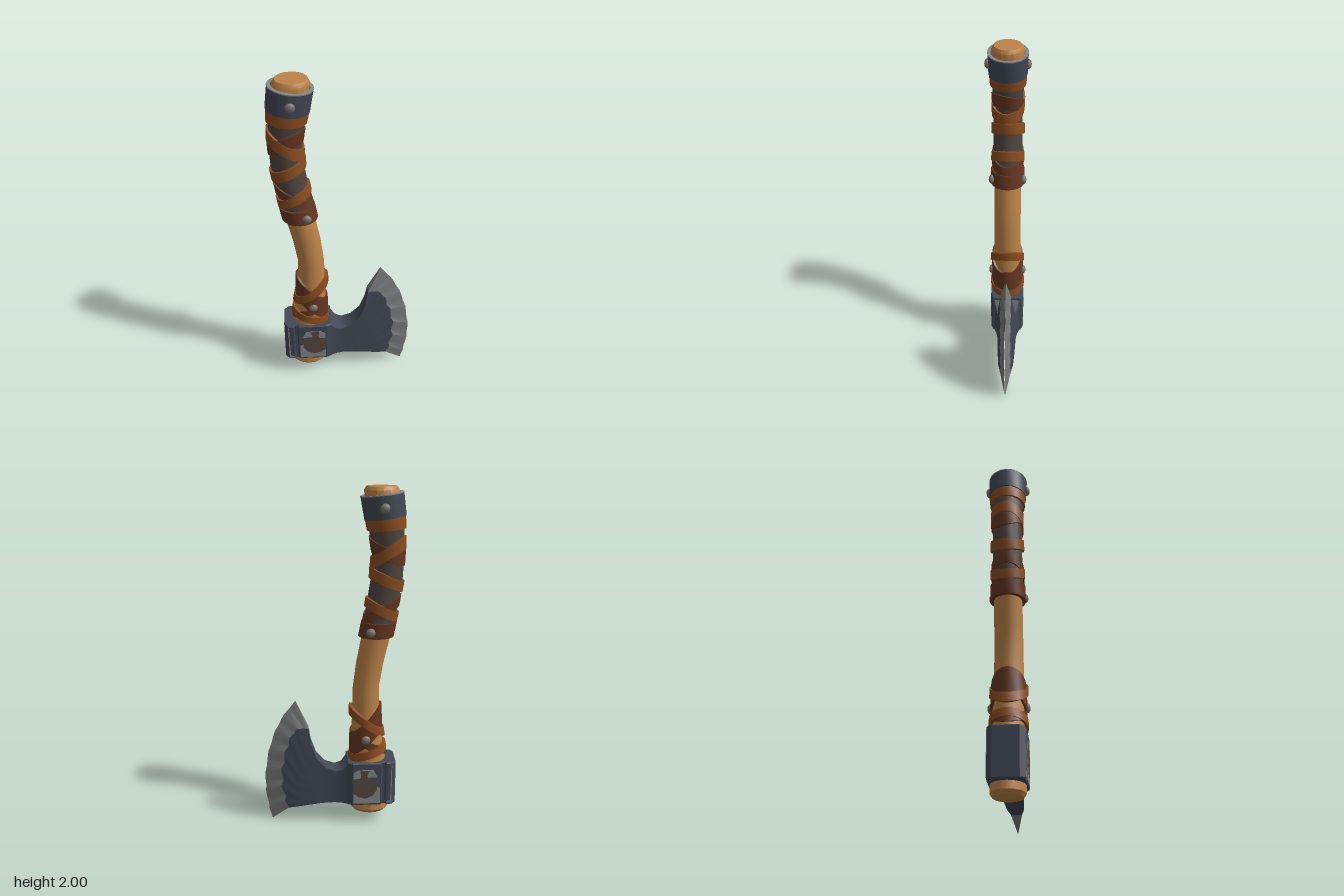
import * as THREE from 'three';
import { toCreasedNormals } from 'three/addons/utils/BufferGeometryUtils.js';

const mat = (name, color, side = THREE.FrontSide) => {
  const m = new THREE.MeshStandardMaterial({ color, side });
  m.name = name;
  return m;
};

// Handle profile: y, centre x, radius in x, radius in z
const PROFILE = [
  [0.065, -0.225, 0.098, 0.08], [0.085, -0.225, 0.116, 0.094], [0.25, -0.22, 0.112, 0.094],
  [0.42, -0.213, 0.102, 0.09], [0.6, -0.198, 0.085, 0.085], [0.85, -0.195, 0.077, 0.08],
  [1.0, -0.216, 0.08, 0.08], [1.15, -0.247, 0.083, 0.08], [1.3, -0.275, 0.083, 0.078],
  [1.5, -0.305, 0.083, 0.076], [1.65, -0.311, 0.083, 0.076], [1.78, -0.296, 0.092, 0.084],
  [1.9, -0.279, 0.102, 0.09], [1.98, -0.268, 0.098, 0.09], [2.0, -0.266, 0.085, 0.078],
];

// Interpolated handle section at a height
function sectionAt(y) {
  let i = 0;
  while (i < PROFILE.length - 2 && PROFILE[i + 1][0] < y) i++;
  const a = PROFILE[i], b = PROFILE[i + 1];
  const t = THREE.MathUtils.clamp((y - a[0]) / (b[0] - a[0]), 0, 1);
  return a.map((v, k) => v + (b[k] - v) * t);
}

// Point on the handle at an angle and height, pushed outwards by off
function around(a, y, off = 0) {
  const [, cx, rx, rz] = sectionAt(y);
  return [cx + (rx + off) * Math.cos(a), y, -(rz + off) * Math.sin(a)];
}

// Skin over rings that run counterclockwise about the direction of travel
function loft(rings, { capped = false, looped = false, crease = 0.6 } = {}) {
  const m = rings[0].length, n = rings.length, pos = rings.flat(2), idx = [];
  for (let i = 0; i < (looped ? n : n - 1); i++) {
    for (let j = 0; j < m; j++) {
      const k = (j + 1) % m, u = i * m, v = ((i + 1) % n) * m;
      idx.push(u + j, u + k, v + k, u + j, v + k, v + j);
    }
  }
  if (capped) {
    for (let j = 1; j < m - 1; j++) {
      const e = (n - 1) * m;
      idx.push(0, j + 1, j, e, e + j, e + j + 1);
    }
  }
  const g = new THREE.BufferGeometry();
  g.setAttribute('position', new THREE.Float32BufferAttribute(pos, 3));
  g.setIndex(idx);
  return toCreasedNormals(g, crease);
}

// Sleeve that follows the handle between its profile heights
function sleeve(heights, off, sides = 16) {
  return loft(heights.map((y) => Array.from({ length: sides },
    (_, j) => around(j / sides * Math.PI * 2, y, off))), { capped: true });
}

// Closed band round the handle; tilt lifts the +x side, twist lifts the back
function band(y, height, tilt, twist, inner, outer, sides = 20) {
  const rings = [];
  for (let i = 0; i < sides; i++) {
    const a = i / sides * Math.PI * 2;
    const c = y + tilt * Math.cos(a) + twist * Math.sin(a);
    const lo = c - height / 2, hi = c + height / 2;
    rings.push([around(a, lo, inner), around(a, hi, inner), around(a, hi, outer), around(a, lo, outer)]);
  }
  return loft(rings, { looped: true });
}

// Blade section: spline from bottom to top, mirrored to both faces
function bladeRing(points, half, jag = 0) {
  const curve = new THREE.SplineCurve(points.map((p) => new THREE.Vector2(...p)));
  const pts = curve.getPoints(20);
  const side = (s) => pts.map((p, i) => {
    const shift = i % 20 === 0 ? 0 : jag * (i % 3 - 1);
    return [p.x + shift, p.y, s * (half + shift * 0.3)];
  });
  return [...side(-1), ...side(1).reverse()];
}

export function createModel() {
  const wood = mat('wood', 0xbd8348);
  const grip = mat('dark grip', 0x51453f);
  const strap = mat('tan strap', 0x8c4e20);
  const leather = mat('brown leather', 0x663622);
  const steel = mat('dark steel', 0x424855);
  const edge = mat('ground edge', 0x7a7b7c);
  const worn = mat('worn steel', 0x84878b);
  const rust = mat('rust', 0x574840);
  const rivet = mat('rivet metal', 0x777167);

  const root = new THREE.Group();
  root.name = 'axe';
  const add = (name, geometry, material, parent = root) => {
    const mesh = new THREE.Mesh(geometry, material);
    mesh.name = name;
    parent.add(mesh);
    return mesh;
  };

  // Wooden handle and dark grip
  add('handle', sleeve(PROFILE.map((p) => p[0]), 0), wood);
  add('grip', sleeve([1.2, 1.3, 1.4, 1.5, 1.65, 1.78, 1.84], 0.007), grip);

  // Steel collar under the pommel end
  add('collar', band(1.893, 0.125, -0.014, 0, 0, 0.022), steel);
  add('collarRim', band(1.957, 0.006, -0.014, 0, 0.004, 0.0235), worn);

  // Bands and crossed straps: name, material, y, height, tilt, twist, outer offset
  [
    ['upperStrap', strap, 1.8, 0.065, -0.008, 0, 0.019],
    ['gripStrap', strap, 1.64, 0.07, -0.06, 0.01, 0.018],
    ['gripStrap', leather, 1.65, 0.08, 0.035, -0.02, 0.015],
    ['gripStrap', strap, 1.49, 0.062, 0.04, 0, 0.02],
    ['gripStrap', strap, 1.32, 0.055, 0.045, 0, 0.02],
    ['gripStrap', leather, 1.32, 0.06, -0.055, 0, 0.016],
    ['lowerBand', leather, 1.205, 0.085, 0, 0, 0.02],
    ['neckWrap', leather, 0.59, 0.15, -0.09, 0, 0.013],
    ['neckStrap', strap, 0.645, 0.055, 0.07, 0, 0.021],
    ['neckStrap', strap, 0.455, 0.05, -0.035, 0, 0.017],
    ['neckStrap', leather, 0.51, 0.05, 0.05, 0, 0.012],
  ].forEach(([name, m, y, h, tilt, twist, out]) => add(name, band(y, h, tilt, twist, 0, out), m));

  // Rivets on both faces
  for (const [x, y, z] of [[-0.275, 1.89, 0.112], [-0.21, 1.2, 0.094], [-0.19, 0.55, 0.098]]) {
    for (const s of [-1, 1]) {
      const r = add('rivet', new THREE.SphereGeometry(0.027, 10, 6), rivet);
      r.position.set(x, y, s * z);
      r.scale.z = 0.65;
    }
  }

  // Axe head
  const head = new THREE.Group();
  head.name = 'head';
  root.add(head);

  // Socket block, extruded upwards, with a groove between poll and cheeks
  const half = [[-0.372, 0.07], [-0.352, 0.095], [-0.318, 0.098], [-0.31, 0.084], [-0.292, 0.084],
    [-0.284, 0.1], [-0.115, 0.1], [-0.085, 0.086]];
  const outline = [...half, ...half.map(([x, z]) => [x, -z]).reverse()];
  const socketShape = new THREE.Shape(outline.map((p) => new THREE.Vector2(...p)));
  const socket = new THREE.ExtrudeGeometry(socketShape, { depth: 0.262, bevelEnabled: true,
    bevelSize: 0.004, bevelThickness: 0.006, bevelSegments: 1, bevelOffset: -0.002 });
  add('socket', socket.rotateX(-Math.PI / 2).translate(0, 0.134, 0), steel, head);

  // Blade body and sharpened edge
  const bevelLine = [[0.27, 0.085], [0.3, 0.2], [0.303, 0.35], [0.272, 0.49], [0.22, 0.595], [0.145, 0.6]];
  const edgeLine = [[0.37, 0.004], [0.4, 0.15], [0.405, 0.31], [0.37, 0.5], [0.305, 0.655], [0.22, 0.77]];
  const bevel = bladeRing(bevelLine, 0.031, 0.008);
  const body = [
    bladeRing([[-0.12, 0.13], [-0.12, 0.4]], 0.096),
    bladeRing([[-0.08, 0.13], [-0.085, 0.385]], 0.08),
    bladeRing([[-0.05, 0.13], [-0.055, 0.347]], 0.068),
    bladeRing([[-0.01, 0.13], [-0.015, 0.335]], 0.06),
    bladeRing([[0.06, 0.125], [0.05, 0.25], [0.045, 0.358]], 0.056),
    bladeRing([[0.14, 0.113], [0.13, 0.27], [0.1, 0.42]], 0.052),
    bladeRing([[0.21, 0.1], [0.21, 0.3], [0.131, 0.51]], 0.046),
    bevel,
  ];
  add('blade', loft(body, { crease: 0.7 }), steel, head);
  add('bladeEdge', loft([bevel, bladeRing(edgeLine, 0.002, 0.003)], { crease: 0.35 }), edge, head);

  // Worn and rusty patches on the cheeks
  const patches = [
    ['wornPatch', worn, 0.1015, [[-0.28, 0.14], [-0.12, 0.14], [-0.12, 0.2], [-0.17, 0.18], [-0.24, 0.2], [-0.262, 0.25], [-0.28, 0.24]]],
    ['wornPatch', worn, 0.1015, [[-0.262, 0.31], [-0.2, 0.31], [-0.12, 0.3], [-0.12, 0.34], [-0.15, 0.36], [-0.24, 0.358]]],
    ['rustPatch', rust, 0.1025, [[-0.26, 0.23], [-0.235, 0.19], [-0.19, 0.172], [-0.145, 0.185], [-0.12, 0.22], [-0.122, 0.3],
      [-0.15, 0.29], [-0.165, 0.315], [-0.16, 0.355], [-0.215, 0.355], [-0.2, 0.32], [-0.225, 0.29], [-0.258, 0.3]]],
    ['wornCorner', worn, 0.098, [[-0.35, 0.14], [-0.32, 0.14], [-0.32, 0.15], [-0.342, 0.155], [-0.345, 0.38], [-0.35, 0.39]]],
  ];
  for (const [name, m, z, pts] of patches) {
    const shape = new THREE.Shape(pts.map((p) => new THREE.Vector2(...p)));
    for (const s of [-1, 1]) {
      const plate = new THREE.ExtrudeGeometry(shape, { depth: 0.004, bevelEnabled: false });
      add(name, plate.translate(0, 0, s * z - 0.002), m, head);
    }
  }
  return root;
}
